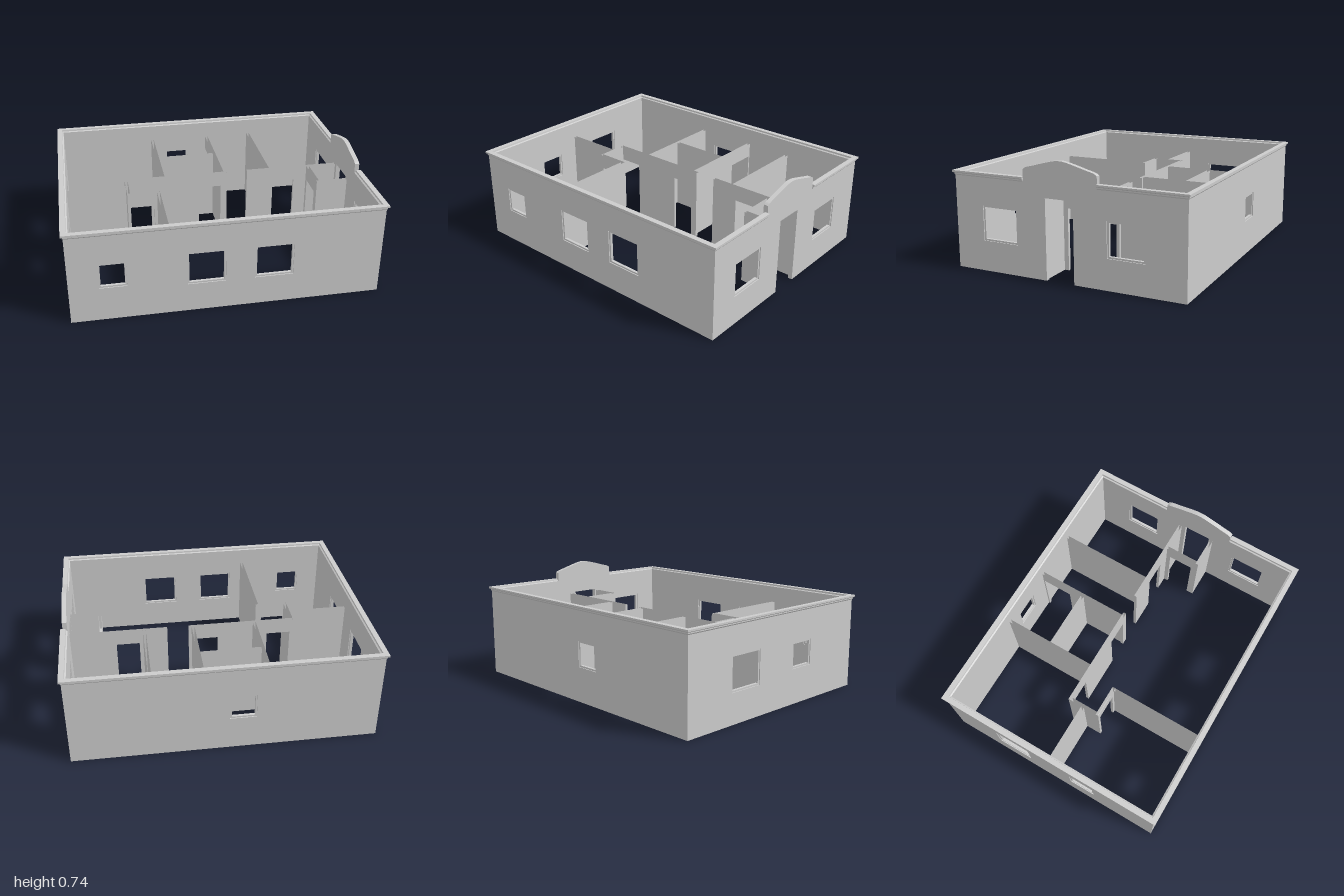
import * as THREE from 'three';

const X = 0.97, Z = 0.765;          // centre lines of the outer walls
const OUT_T = 0.03, IN_T = 0.02;    // wall thicknesses
const WALL_H = 0.6, ROOM_H = 0.5, DOOR_H = 0.4;

const material = new THREE.MeshStandardMaterial({ color: 0xcccccc, flatShading: true, side: THREE.DoubleSide });

function addMesh(parent, name, geometry) {
  const mesh = new THREE.Mesh(geometry, material);
  mesh.name = name;
  parent.add(mesh);
  return mesh;
}

function rect(Type, [a, b, y0, y1]) {
  const p = new Type();
  p.moveTo(a, y0); p.lineTo(b, y0); p.lineTo(b, y1); p.lineTo(a, y1); p.closePath();
  return p;
}

// Extrudes an upright shape, centred on a line running along x or z
function slab(shape, axis, at, depth) {
  const g = new THREE.ExtrudeGeometry(shape, { depth, bevelEnabled: false, curveSegments: 10 });
  g.translate(0, 0, -depth / 2);
  if (axis === 'z') { g.rotateY(-Math.PI / 2); g.translate(at, 0, 0); }
  else g.translate(0, 0, at);
  return g;
}

// Wall outline with doorways cut up from the ground; top may be a custom list of points
function wallShape(a, b, height, doors = [], top = []) {
  const s = new THREE.Shape();
  s.moveTo(a, 0);
  for (const [d0, d1, h] of doors) {
    s.lineTo(d0, 0); s.lineTo(d0, h); s.lineTo(d1, h); s.lineTo(d1, 0);
  }
  s.lineTo(b, 0);
  s.lineTo(b, height);
  for (const [u, y] of top) s.lineTo(u, y);
  s.lineTo(a, height);
  s.closePath();
  return s;
}

// Removes the level faces at the given heights, leaving a hollow partition
function openAt(g, heights) {
  const p = g.attributes.position, keep = [];
  for (let i = 0; i < p.count; i += 3) {
    const level = heights.some(h => [0, 1, 2].every(k => Math.abs(p.getY(i + k) - h) < 1e-5));
    if (!level) for (let k = 0; k < 3; k++) keep.push(p.getX(i + k), p.getY(i + k), p.getZ(i + k));
  }
  const out = new THREE.BufferGeometry();
  out.setAttribute('position', new THREE.Float32BufferAttribute(keep, 3));
  out.computeVertexNormals();
  return out;
}

// Outer wall with window holes and a slim frame in each
function outerWall(parent, name, axis, at, shape, windows) {
  const group = new THREE.Group();
  group.name = name;
  parent.add(group);
  for (const w of windows) shape.holes.push(rect(THREE.Path, w));
  addMesh(group, name + 'Panel', slab(shape, axis, at, OUT_T));
  for (const [a, b, y0, y1] of windows) {
    const f = 0.011;
    const ring = rect(THREE.Shape, [a, b, y0, y1]);
    ring.holes.push(rect(THREE.Path, [a + f, b - f, y0 + f, y1 - f]));
    addMesh(group, 'windowFrame', slab(ring, axis, at, OUT_T - 0.012));
  }
}

// Moulding swept round the wall tops, mitred at the corners and broken at the gable
function corniceGeometry() {
  const profile = [[-0.015, 0.595], [0.015, 0.595], [0.02, 0.602], [0.02, 0.609], [0.03, 0.615],
    [0.03, 0.626], [-0.004, 0.626], [-0.006, 0.615], [-0.015, 0.61]];
  const stations = [
    d => [X + d, -0.22], d => [X + d, -Z - d], d => [-X - d, -Z - d],
    d => [-X - d, Z + d], d => [X + d, Z + d], d => [X + d, 0.28]];
  const loops = stations.map(f => profile.map(([d, y]) => { const [x, z] = f(d); return [x, y, z]; }));
  const pos = [], n = profile.length;
  const tri = (...pts) => pts.forEach(p => pos.push(...p));
  for (let i = 0; i < loops.length - 1; i++) {
    for (let j = 0; j < n; j++) {
      const k = (j + 1) % n, A = loops[i], B = loops[i + 1];
      tri(A[j], B[j], B[k]);
      tri(A[j], B[k], A[k]);
    }
  }
  const caps = THREE.ShapeUtils.triangulateShape(profile.map(p => new THREE.Vector2(...p)), []);
  const first = loops[0], last = loops[loops.length - 1];
  for (const [a, b, c] of caps) {
    tri(first[a], first[b], first[c]);
    tri(last[a], last[c], last[b]);
  }
  const g = new THREE.BufferGeometry();
  g.setAttribute('position', new THREE.Float32BufferAttribute(pos, 3));
  g.computeVertexNormals();
  return g;
}

export function createModel() {
  const house = new THREE.Group();
  house.name = 'house';

  // Outer walls: windows are [from, to, bottom, top]
  const ex = X + OUT_T / 2, ez = Z - OUT_T / 2;
  outerWall(house, 'frontWall', 'x', Z, wallShape(-ex, ex, WALL_H),
    [[-0.8, -0.63, 0.23, 0.4], [-0.26, -0.02, 0.195, 0.42], [0.165, 0.41, 0.195, 0.42]]);
  outerWall(house, 'backWall', 'x', -Z, wallShape(-ex, ex, WALL_H), [[-0.19, -0.02, 0.23, 0.4]]);
  outerWall(house, 'rightWall', 'z', -X, wallShape(-ez, ez, WALL_H),
    [[-0.42, -0.17, 0.195, 0.42], [0.15, 0.33, 0.23, 0.4]]);

  // Entrance wall rises into a curved gable above the doorway
  const mid = 0.03, half = 0.25, gable = [];
  gable.push([mid + half, WALL_H], [mid + half, 0.67]);
  const arch = new THREE.CatmullRomCurve3([[1, 0.672], [0.93, 0.684], [0.7, 0.7], [0.35, 0.724], [0.12, 0.737], [0, 0.739],
    [-0.12, 0.737], [-0.35, 0.724], [-0.7, 0.7], [-0.93, 0.684], [-1, 0.672]]
    .map(([u, y]) => new THREE.Vector3(mid + u * half, y, 0)));
  for (const p of arch.getPoints(30)) gable.push([p.x, p.y]);
  gable.push([mid - half, WALL_H]);
  outerWall(house, 'entranceWall', 'z', X, wallShape(-ez, ez, WALL_H, [[-0.06, 0.13, 0.51]], gable),
    [[-0.525, -0.28, 0.195, 0.42], [0.33, 0.58, 0.195, 0.42]]);

  addMesh(house, 'cornice', corniceGeometry());

  // Partitions: axis, position, from, to, doorways
  const inX = X - OUT_T / 2, inZ = Z - OUT_T / 2;
  const partitions = [
    ['x', -0.1, -0.56, 0.16, [[-0.54, -0.38], [-0.04, 0.115]]],
    ['x', -0.1, 0.305, inX, [[0.495, 0.65]]],
    ['x', 0.11, -0.56, -0.34, [[-0.54, -0.38]]],
    ['x', 0, -inX, -0.56, []],
    ['x', -0.42, -0.28, 0.12, []],
    ['x', 0.15, 0.74, inX, []],
    ['z', -0.29, -inZ, -0.11, []],
    ['z', 0.13, -inZ, -0.11, [[-0.74, -0.53]]],
    ['z', 0.46, -inZ, -0.11, []],
    ['z', -0.55, -0.09, 0.1, []],
    ['z', -0.35, 0.12, inZ, []],
    ['z', 0.75, -0.09, 0.14, [[-0.06, 0.11]]],
  ];
  const rooms = new THREE.Group();
  rooms.name = 'partitions';
  house.add(rooms);
  for (const [axis, at, a, b, doors] of partitions) {
    const shape = wallShape(a, b, ROOM_H, doors.map(d => [...d, DOOR_H]));
    addMesh(rooms, 'partition', openAt(slab(shape, axis, at, IN_T), [0, ROOM_H]));
  }
  return house;
}
